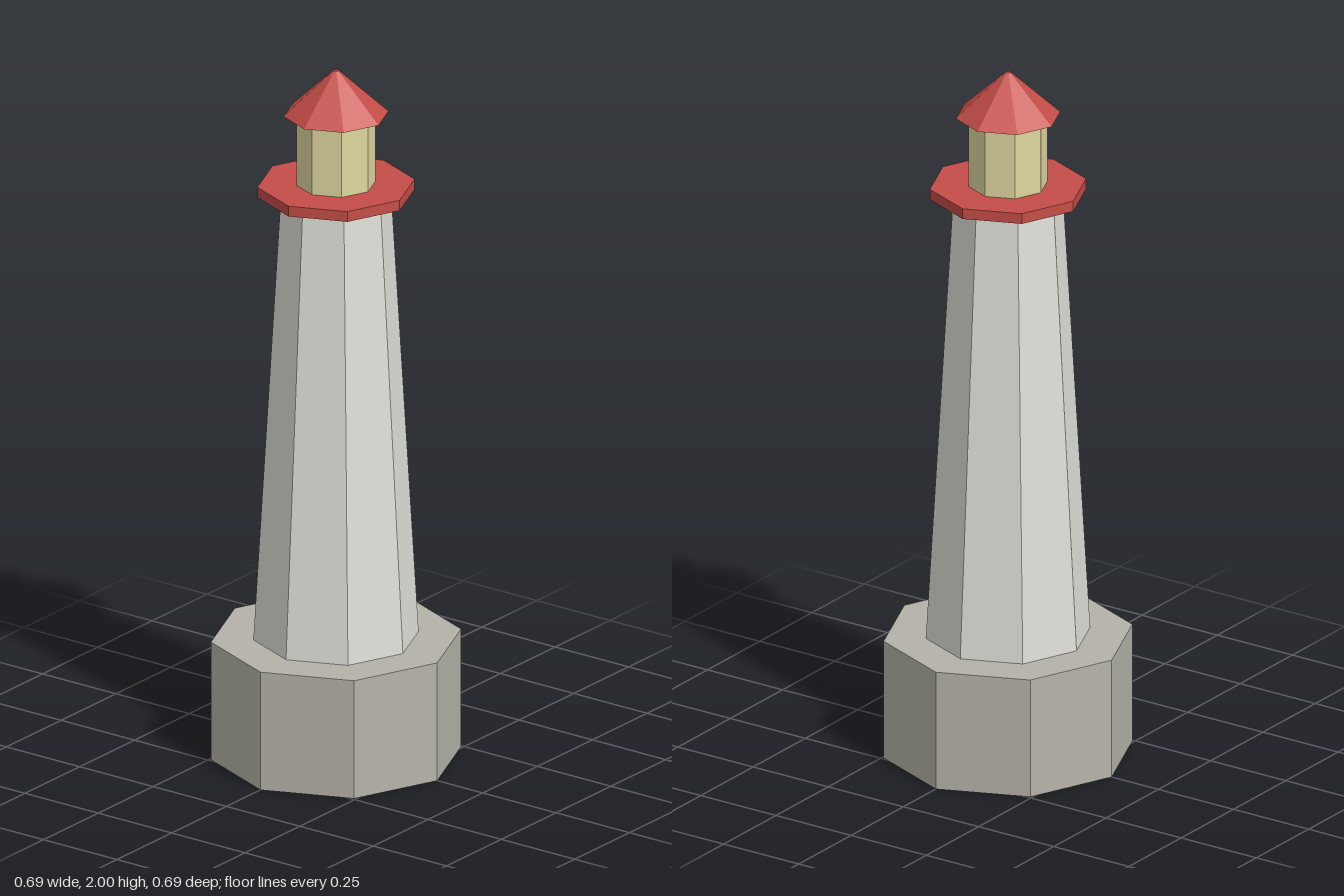
import * as THREE from 'three';

const material = (name, color) => {
  const m = new THREE.MeshStandardMaterial({ color, flatShading: true });
  m.name = name;
  return m;
};

export function createModel() {
  const stone = material('stone', 0xb5b3a8);
  const white = material('whitewash', 0xe0e0da);
  const red = material('red', 0xc44d47);
  const glass = material('lampGlass', 0xded69f);

  const model = new THREE.Group();
  model.name = 'lighthouse';

  // Every part is an eight-sided frustum with corners on the x and z axes
  const addTier = (name, mat, bottomRadius, topRadius, y0, y1) => {
    const geometry = new THREE.CylinderGeometry(topRadius, bottomRadius, y1 - y0, 8);
    const mesh = new THREE.Mesh(geometry, mat);
    mesh.name = name;
    mesh.position.y = (y0 + y1) / 2;
    model.add(mesh);
  };

  addTier('base', stone, 0.345, 0.345, 0, 0.345);
  addTier('tower', white, 0.228, 0.152, 0.345, 1.64);
  addTier('gallery', red, 0.217, 0.217, 1.64, 1.67);
  addTier('lantern', glass, 0.109, 0.109, 1.67, 1.873);
  addTier('roof', red, 0.145, 0.008, 1.873, 2);

  return model;
}
